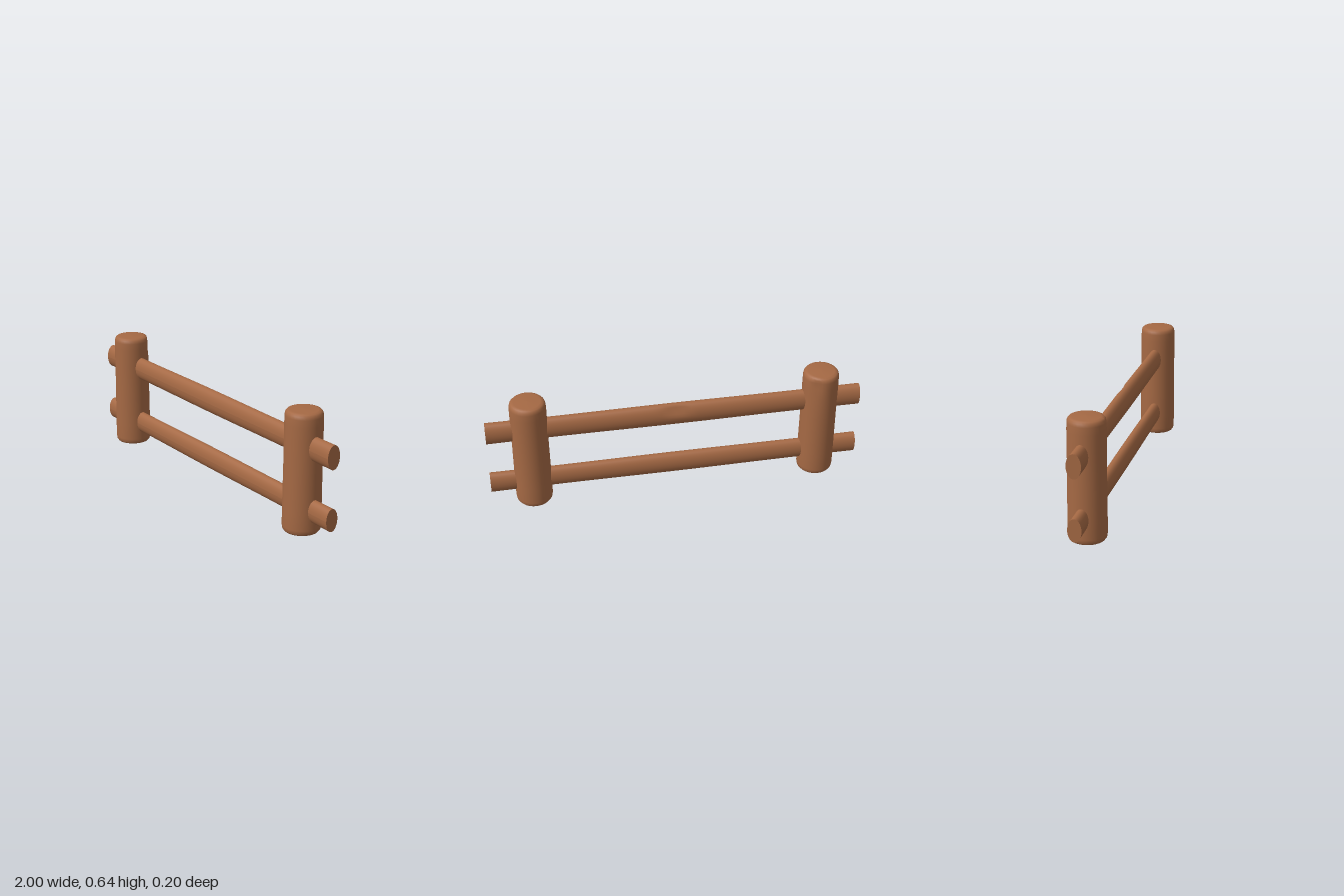
import * as THREE from 'three';

const wood = new THREE.MeshStandardMaterial({ color: 0xa56944 });
wood.name = 'warm brown wood';

// Move every vertex by a rule, then refresh the normals
function reshape(geometry, rule) {
  const pos = geometry.attributes.position;
  const v = new THREE.Vector3();
  for (let i = 0; i < pos.count; i++) {
    v.fromBufferAttribute(pos, i);
    rule(v);
    pos.setXYZ(i, v.x, v.y, v.z);
  }
  geometry.computeVertexNormals();
  return geometry;
}

// Round log post with softened rims and a slight waist
function makePost(name, x, z, chipped) {
  const profile = [
    [0, 0.003], [0.075, 0.003], [0.088, 0.007], [0.095, 0.016], [0.098, 0.035],
    [0.098, 0.12], [0.097, 0.25], [0.096, 0.38], [0.096, 0.5], [0.096, 0.57],
    [0.095, 0.61], [0.092, 0.625], [0.084, 0.634], [0.07, 0.638], [0, 0.64],
  ].map(([r, y]) => new THREE.Vector2(r, y));
  const geometry = new THREE.LatheGeometry(profile, 32);
  if (chipped) {
    // Shallow chip near the top of the rear face
    const dir = new THREE.Vector3(0.45, 0, -0.89).normalize();
    reshape(geometry, (v) => {
      const over = v.dot(dir) - 0.088;
      if (v.y > 0.56 && over > 0) v.addScaledVector(dir, -over);
    });
  }
  const post = new THREE.Mesh(geometry, wood);
  post.name = name;
  post.position.set(x, 0, z);
  return post;
}

// Oval rail running through both posts
function makeRail(name, y, halfHeight, halfDepth, notched) {
  const geometry = new THREE.CylinderGeometry(1, 1, 2, 28, 50);
  geometry.rotateZ(-Math.PI / 2);
  reshape(geometry, (v) => {
    const bow = 1 + 0.02 * Math.cos(v.x * 5);
    v.y = v.y * halfHeight * bow - 0.002 * v.x;
    v.z *= halfDepth * bow;
    // Small flat cut on the rear upper face near the middle
    if (notched && v.x > -0.05 && v.x < 0.06 && v.y > 0.0 && v.z < 0) {
      const over = 0.4 * v.y - 0.92 * v.z - 0.036;
      if (over > 0) v.z += over / 0.92;
    }
  });
  const rail = new THREE.Mesh(geometry, wood);
  rail.name = name;
  rail.position.set(0, y, -0.002);
  return rail;
}

export function createModel() {
  const fence = new THREE.Group();
  fence.name = 'logFence';
  fence.add(
    makePost('rightPost', -0.785, 0.002, true),
    makePost('leftPost', 0.772, -0.003, false),
    makeRail('upperRail', 0.461, 0.063, 0.037, true),
    makeRail('lowerRail', 0.137, 0.06, 0.035, false),
  );
  return fence;
}
